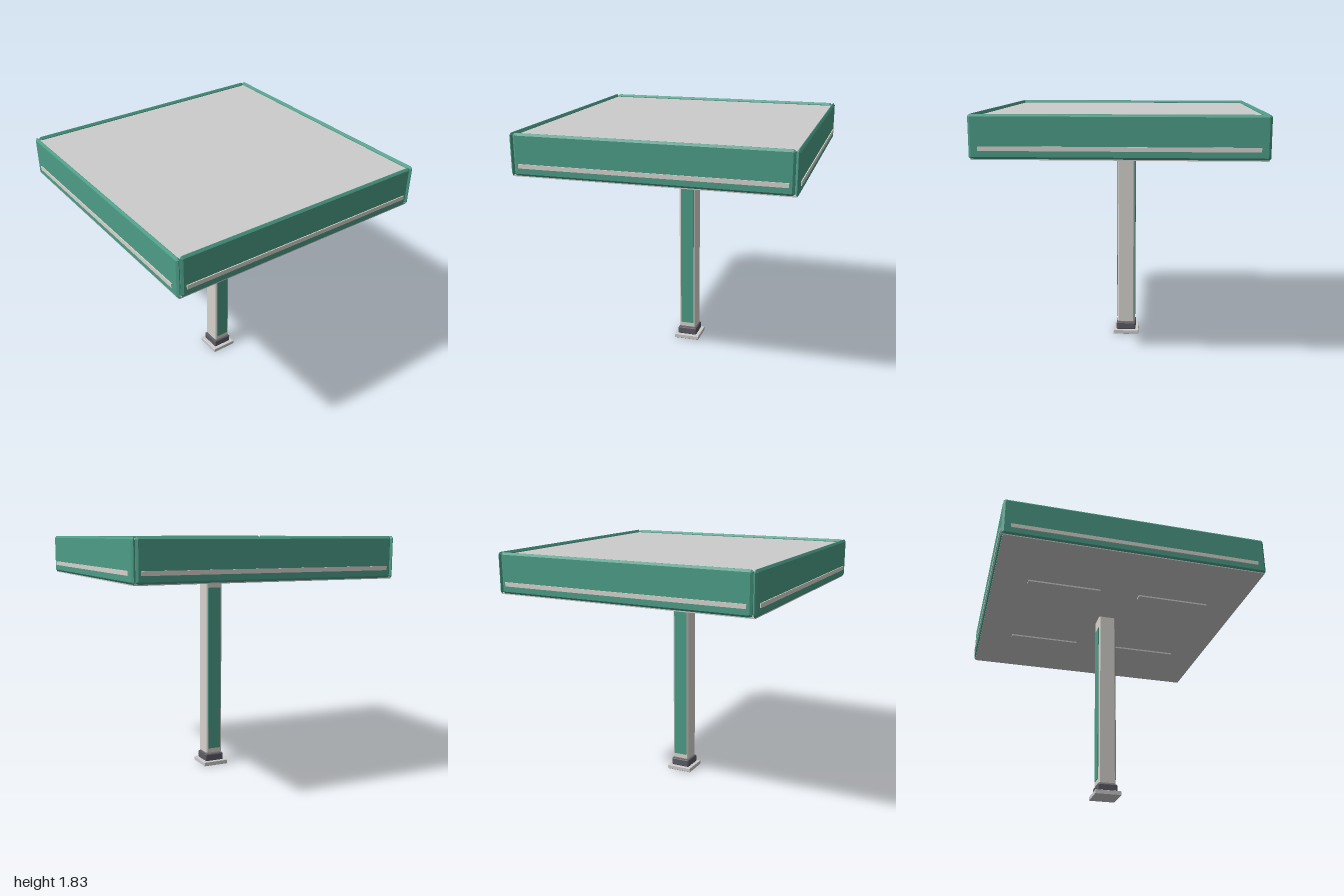
import * as THREE from 'three';

const material = (color) => new THREE.MeshStandardMaterial({ color, flatShading: true });

// Box with cut corners and one-step bevels, centred on the origin.
// w, h: outline, d: thickness, cut: corner cut, b: bevel inward, t: bevel along the thickness
function bevelBox(w, h, d, cut, b, t) {
  const x = w / 2 - b, y = h / 2 - b;
  const pts = [[x - cut, -y], [x, cut - y], [x, y - cut], [x - cut, y],
    [cut - x, y], [-x, y - cut], [-x, cut - y], [cut - x, -y]];
  const shape = new THREE.Shape(pts.map(([px, py]) => new THREE.Vector2(px, py)));
  return new THREE.ExtrudeGeometry(shape, {
    depth: d - 2 * t, bevelEnabled: true, bevelSegments: 1, bevelSize: b, bevelThickness: t,
  }).translate(0, 0, t - d / 2);
}

export function createModel() {
  const root = new THREE.Group();
  const green = material(0x4c9c86);
  const cream = material(0xd6d3ce);
  const grey = material(0xc4c4c8);
  const dark = material(0x5c5a64);

  const add = (parent, name, geometry, mat, x, y, z) => {
    const mesh = new THREE.Mesh(geometry, mat);
    mesh.name = name;
    mesh.position.set(x, y, z);
    parent.add(mesh);
    return mesh;
  };
  const box = (w, h, d) => new THREE.BoxGeometry(w, h, d);

  // Foot and column
  add(root, 'basePlate', bevelBox(0.2, 0.033, 0.2, 0.002, 0.002, 0.003), grey, 0, 0.0165, 0);
  add(root, 'collar', bevelBox(0.152, 0.152, 0.057, 0.004, 0.004, 0.006), dark, 0, 0.06, 0)
    .rotation.x = Math.PI / 2;
  add(root, 'column', bevelBox(0.134, 0.134, 1.45, 0.006, 0.006, 0.01), cream, 0, 0.815, 0)
    .rotation.x = Math.PI / 2;
  for (const s of [-1, 1]) {
    add(root, 'columnPanel', box(0.01, 1.293, 0.104), green, s * 0.067, 0.7815, 0);
  }

  // Roof slab
  add(root, 'roofDeck', box(1.94, 0.275, 1.94), grey, 0, 1.6675, 0);
  add(root, 'soffit', box(1.965, 0.012, 1.965), grey, 0, 1.53, 0);

  // Fascia on four sides, each with a light strip; the front and back run past the sides
  for (let i = 0; i < 4; i++) {
    const side = new THREE.Group();
    side.name = 'fasciaSide';
    side.rotation.y = i * Math.PI / 2;
    const width = i % 2 ? 1.93 : 1.986;
    add(side, 'fascia', bevelBox(width, 0.297, 0.028, 0.004, 0.016, 0.012), green, 0, 1.6775, 0.979);
    add(side, 'lightStrip', box(1.86, 0.03, 0.012), cream, 0, 1.6, 0.994);
    root.add(side);
  }

  // Lamps under the roof
  for (const x of [-0.437, 0.437]) {
    for (const z of [-0.437, 0.437]) {
      add(root, 'ceilingLamp', box(0.565, 0.014, 0.056), grey, x, 1.519, z);
    }
  }
  return root;
}
